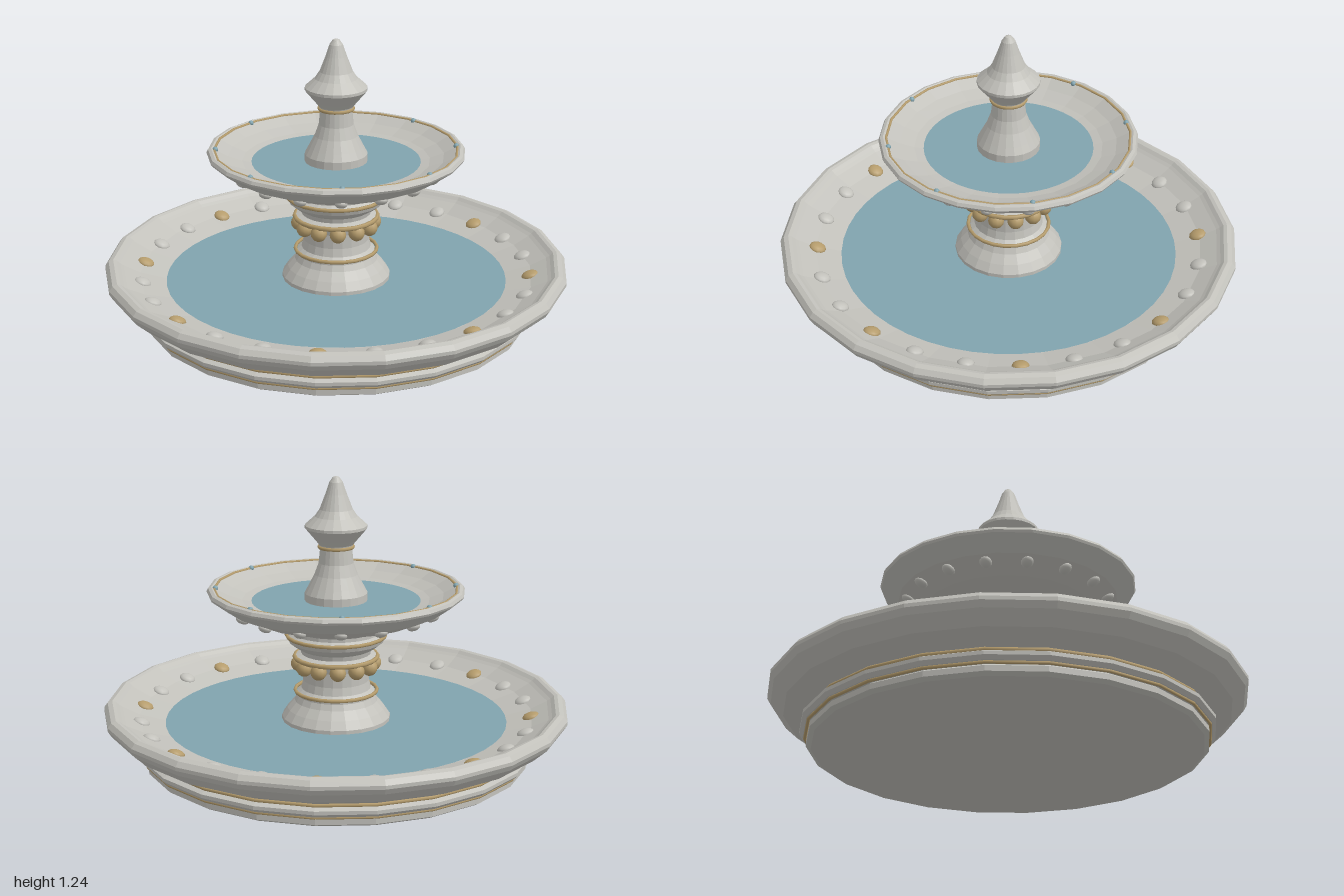
import * as THREE from 'three';

const mat = (name, color) => Object.assign(new THREE.MeshStandardMaterial({ color }), { name });

export function createModel() {
  const stone = mat('stone', 0xc2c1bb);
  const gold = mat('agedGold', 0xb59c6c);
  const water = mat('water', 0x80a3ae);
  const fountain = new THREE.Group();
  fountain.name = 'fountain';

  const add = (name, geometry, material, parent = fountain) => {
    const mesh = new THREE.Mesh(geometry, material);
    mesh.name = name;
    parent.add(mesh);
    return mesh;
  };

  // Faceted turned part from [radius, height] pairs, up the outside
  const turned = (name, profile, sides = 22) => {
    const points = profile.map(([r, y]) => new THREE.Vector2(r, y));
    const geometry = new THREE.LatheGeometry(points, sides, Math.PI / 2).toNonIndexed();
    geometry.computeVertexNormals();
    return add(name, geometry, stone);
  };

  const ring = (name, radius, y, tube, material = gold) => {
    const mesh = add(name, new THREE.TorusGeometry(radius, tube, 6, 22), material);
    mesh.rotation.x = Math.PI / 2;
    mesh.position.y = y;
  };

  const pool = (name, radius, y) => {
    const mesh = add(name, new THREE.CircleGeometry(radius, 48), water);
    mesh.rotation.x = -Math.PI / 2;
    mesh.position.y = y;
  };

  // Circle of rounded studs; tilt leans each one along the bowl wall
  const studs = (name, count, radius, y, size, materialOf, offset = 0, tilt = 0) => {
    const group = new THREE.Group();
    group.name = name;
    fountain.add(group);
    const geometry = new THREE.SphereGeometry(1, 12, 8);
    for (let i = 0; i < count; i++) {
      const angle = ((i + offset) / count) * Math.PI * 2;
      const stud = add(name + 'Piece', geometry, materialOf(i), group);
      stud.position.set(radius * Math.cos(angle), y, radius * Math.sin(angle));
      stud.rotation.set(0, -angle, tilt);
      stud.scale.set(...size);
    }
  };

  // Stepped plinth and main basin
  turned('plinth', [
    [0, 0], [0.81, 0], [0.83, 0.012], [0.83, 0.035], [0.815, 0.045], [0.845, 0.05],
    [0.86, 0.065], [0.86, 0.08], [0.84, 0.09], [0.82, 0.1], [0, 0.1],
  ]);
  ring('plinthLowerTrim', 0.836, 0.045, 0.007);
  ring('plinthUpperTrim', 0.836, 0.096, 0.008);
  turned('basin', [
    [0, 0.1], [0.83, 0.1], [0.93, 0.145], [0.985, 0.195], [1, 0.22], [1, 0.235], [0.985, 0.255],
    [0.965, 0.262], [0.95, 0.258], [0.935, 0.245], [0.92, 0.235], [0.85, 0.2], [0.735, 0.17], [0, 0.15],
  ]);
  pool('basinWater', 0.737, 0.174);
  studs('basinStud', 24, 0.84, 0.2, [0.038, 0.02, 0.036], (i) => (i % 3 ? stone : gold), 0.5, 0.33);

  // Pedestal carrying the upper bowl
  turned('pedestal', [
    [0.234, 0.16], [0.234, 0.19], [0.21, 0.225], [0.18, 0.26], [0.168, 0.285], [0.168, 0.3], [0.15, 0.315],
    [0.142, 0.35], [0.142, 0.41], [0.15, 0.44], [0.175, 0.445], [0.175, 0.46], [0.15, 0.47], [0.155, 0.49],
    [0.18, 0.505], [0.205, 0.525], [0.215, 0.55], [0.195, 0.565], [0.195, 0.58], [0.21, 0.59], [0.21, 0.61],
  ]);
  ring('pedestalFootTrim', 0.177, 0.303, 0.008);
  ring('beadTrim', 0.178, 0.453, 0.01);
  ring('collarTrim', 0.213, 0.55, 0.008);
  studs('bead', 12, 0.16, 0.421, [0.035, 0.035, 0.035], () => gold);

  // Upper bowl
  turned('upperBowl', [
    [0, 0.588], [0.205, 0.588], [0.25, 0.605], [0.36, 0.632], [0.47, 0.68], [0.545, 0.735], [0.55, 0.745],
    [0.543, 0.758], [0.53, 0.763], [0.515, 0.756], [0.46, 0.727], [0.4, 0.706], [0.35, 0.696], [0, 0.69],
  ]);
  ring('bowlRimTrim', 0.518, 0.756, 0.006);
  pool('bowlWater', 0.36, 0.702);
  studs('bowlStud', 16, 0.43, 0.661, [0.03, 0.017, 0.026], () => stone, 0, 0.42);
  studs('waterDrop', 8, 0.512, 0.757, [0.012, 0.012, 0.012], () => water);

  // Finial
  turned('finial', [
    [0.134, 0.69], [0.134, 0.735], [0.118, 0.765], [0.092, 0.815], [0.074, 0.865], [0.068, 0.925], [0.074, 0.945],
    [0.09, 0.965], [0.132, 1.015], [0.132, 1.027], [0.09, 1.065], [0.07, 1.095], [0.045, 1.16], [0.028, 1.21],
    [0.014, 1.23], [0, 1.235],
  ]);
  ring('finialTrim', 0.072, 0.934, 0.008);

  return fountain;
}
